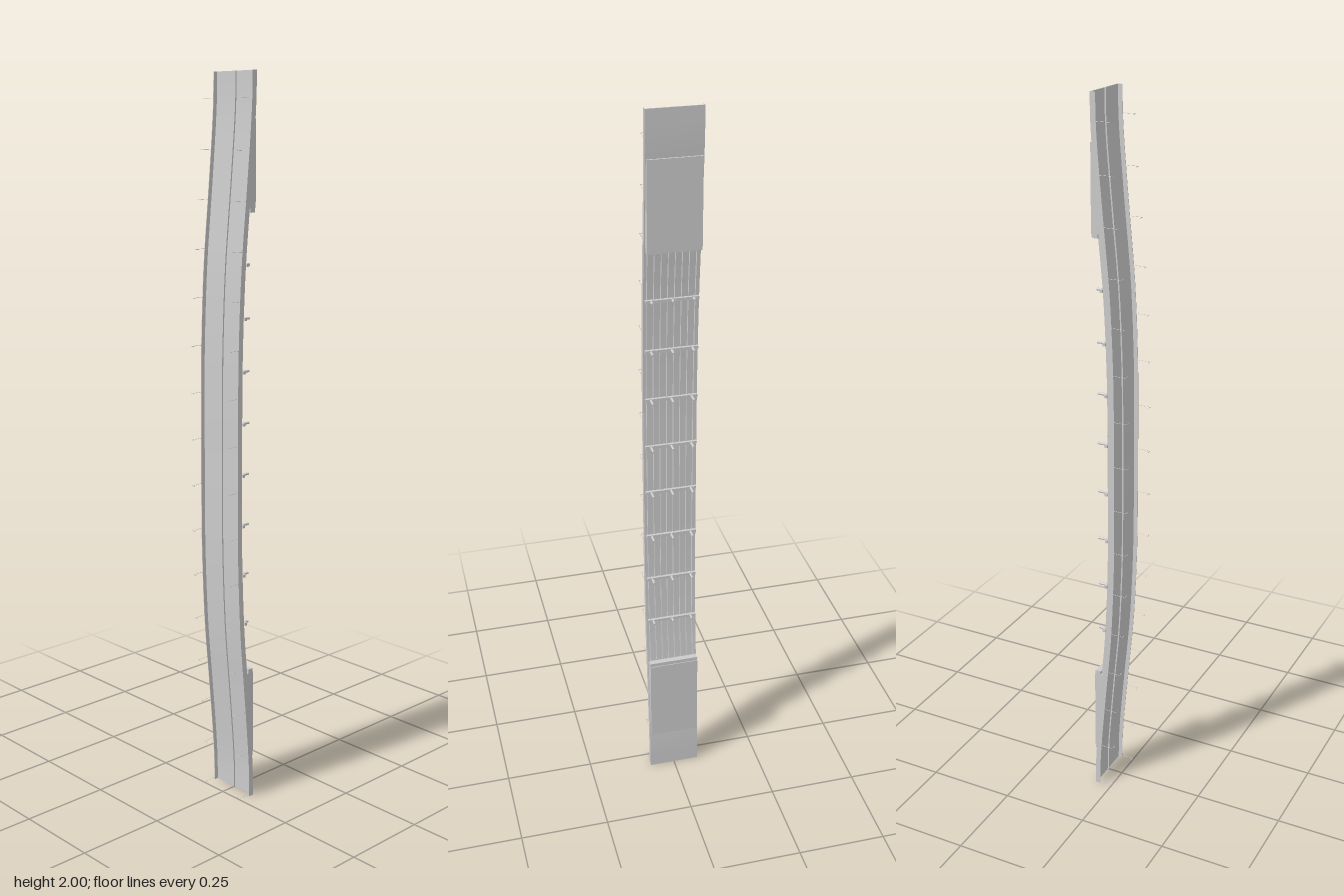
import * as THREE from 'three';
import { toCreasedNormals } from 'three/addons/utils/BufferGeometryUtils.js';

const mat = new THREE.MeshStandardMaterial({ color: 0xcccccc, side: THREE.DoubleSide });

// Road surface height (along z) as a function of position along the bridge (y)
const rise = [[0, 0.001], [0.15, 0.001], [0.3, -0.001], [0.5, -0.01], [0.7, -0.028], [0.85, -0.041], [0.93, -0.046], [1, -0.047]];
function road(y) {
  const t = Math.min(1, Math.abs(y - 1));
  let i = 0;
  while (i < rise.length - 2 && t > rise[i + 1][0]) i++;
  const slope = (k) => {
    const a = rise[Math.max(0, k - 1)], b = rise[Math.min(rise.length - 1, k + 1)];
    return k === 0 ? 0 : (b[1] - a[1]) / (b[0] - a[0]);
  };
  const [t0, z0] = rise[i], [t1, z1] = rise[i + 1];
  const h = t1 - t0, u = (t - t0) / h;
  return z0 * (1 + 2 * u) * (1 - u) ** 2 + slope(i) * h * u * (1 - u) ** 2
    + z1 * u * u * (3 - 2 * u) + slope(i + 1) * h * u * u * (u - 1);
}

export function createModel() {
  const root = new THREE.Group();

  function add(name, geometry, x = 0, y = 0, z = 0, parent = root) {
    const mesh = new THREE.Mesh(geometry, mat);
    mesh.name = name;
    mesh.position.set(x, y, z);
    parent.add(mesh);
    return mesh;
  }

  // A strip following the road between y0 and y1; low and high give its side outline
  function strip(name, x, width, y0, y1, low, high) {
    const n = Math.max(4, Math.ceil((y1 - y0) * 30));
    const front = [], back = [];
    for (let i = 0; i <= n; i++) {
      const y = y0 + (y1 - y0) * i / n;
      front.push(new THREE.Vector2(high(y), y));
      back.unshift(new THREE.Vector2(low(y), y));
    }
    const g = new THREE.ExtrudeGeometry(new THREE.Shape([...front, ...back]), { depth: width, bevelEnabled: false });
    g.rotateY(-Math.PI / 2).translate(width / 2, 0, 0);
    return add(name, toCreasedNormals(g, 0.5), x);
  }
  const offset = (d) => (y) => road(y) + d;

  // Deck, median and parapets
  strip('deck', 0, 0.145, 0, 2, offset(-0.003), offset(0));
  strip('median', 0, 0.004, 0, 2, offset(-0.001), offset(0.004));
  for (const s of [-1, 1]) {
    strip('parapet', s * 0.072, 0.0015, 0, 2, offset(-0.003), offset(0.012));
  }

  // Longitudinal girders under the open spans
  for (let i = 0; i < 8; i++) {
    strip('girder', -0.063 + i * 0.018, 0.004, 0.37, 1.66, offset(-0.011), offset(-0.002));
  }

  // Solid abutments under both ramps, with a ledge at the span side
  for (const [y0, y1, ledge] of [[0.12, 0.375, 0.38], [1.655, 1.88, 1.65]]) {
    strip('abutment', 0, 0.14, y0, y1, () => -0.051, offset(-0.002));
    add('abutmentLedge', new THREE.BoxGeometry(0.14, 0.012, 0.016), 0, ledge, -0.041);
  }

  // Piers: a cap beam on columns with a footing
  for (let i = 1; i <= 8; i++) {
    const y = 0.382 + i * 0.141;
    const top = road(y) - 0.01, foot = -0.043;
    const pier = new THREE.Group();
    pier.name = 'pier';
    root.add(pier);
    add('capBeam', new THREE.BoxGeometry(0.14, 0.008, 0.008), 0, y, top - 0.004, pier);
    for (const x of [-0.055, 0, 0.055]) {
      const column = new THREE.CylinderGeometry(0.0035, 0.0035, top - foot, 12).rotateX(Math.PI / 2);
      add('column', column, x, y, (top + foot) / 2, pier);
    }
  }

  // Street lamps along both parapets
  for (let i = 0; i < 16; i++) {
    const y = 0.006 + i * 0.1283;
    for (const s of [-1, 1]) {
      const lamp = new THREE.Group();
      lamp.name = 'streetLamp';
      lamp.position.set(s * 0.072, y, road(y));
      root.add(lamp);
      add('post', new THREE.CylinderGeometry(0.0005, 0.0006, 0.048, 6).rotateX(Math.PI / 2), 0, 0, 0.024, lamp);
      add('arm', new THREE.BoxGeometry(0.011, 0.0008, 0.0008), -s * 0.005, 0, 0.048, lamp);
      add('lampHead', new THREE.BoxGeometry(0.004, 0.0016, 0.001), -s * 0.01, 0, 0.0475, lamp);
    }
  }

  return root;
}
